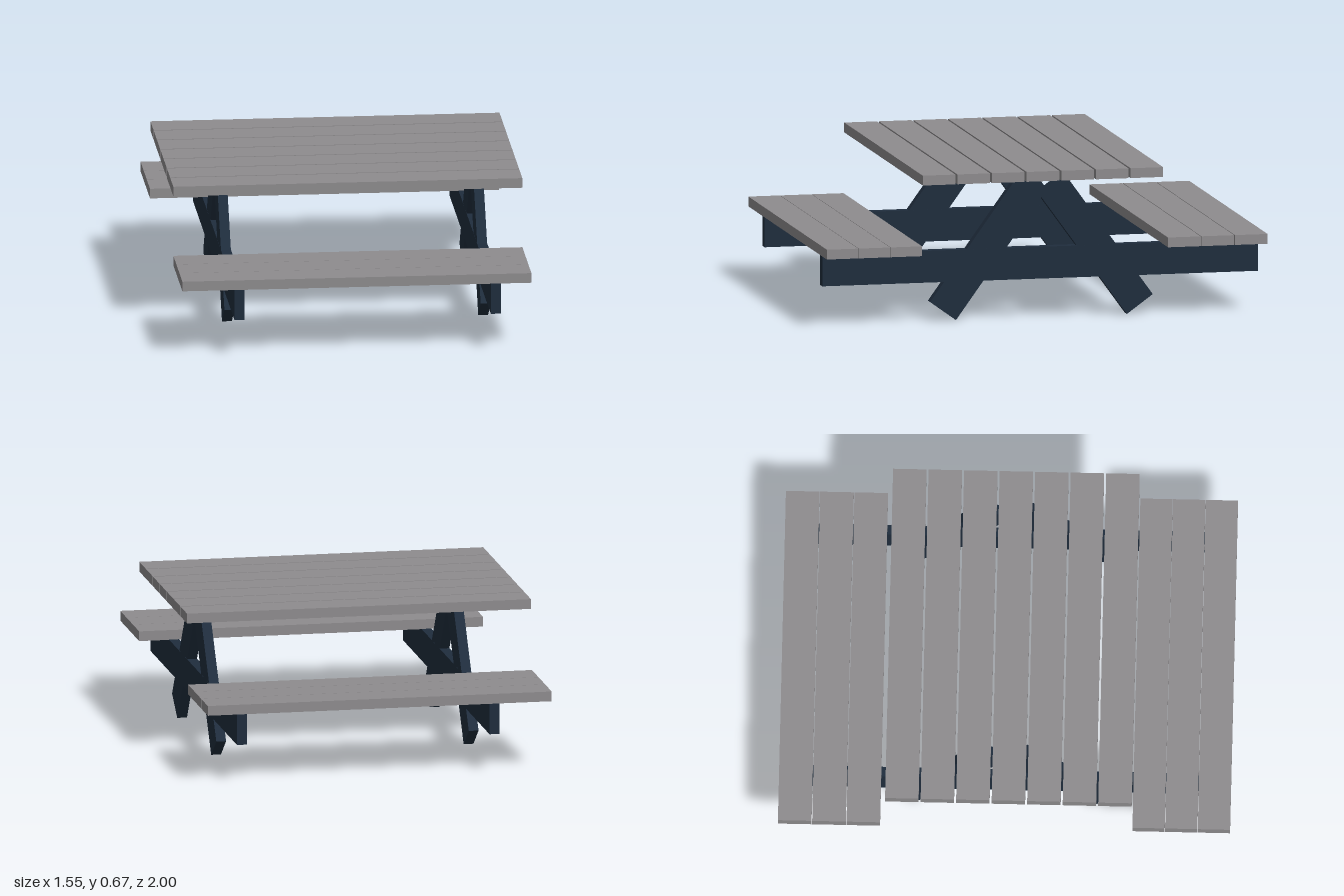
import * as THREE from 'three';

const wood = new THREE.MeshStandardMaterial({ color: 0x8e8c8e });
wood.name = 'weathered grey wood';
const frame = new THREE.MeshStandardMaterial({ color: 0x1f2d3d });
frame.name = 'dark navy frame';

function board(parent, name, material, size, position, tilt = 0) {
  const mesh = new THREE.Mesh(new THREE.BoxGeometry(...size), material);
  mesh.name = name;
  mesh.position.set(...position);
  mesh.rotation.x = tilt;
  parent.add(mesh);
}

// A row of parallel slats running along x, spread between two z limits
function slatRow(name, count, zMin, zMax, gap, y, thickness) {
  const row = new THREE.Group();
  row.name = name;
  const width = (zMax - zMin - gap * (count - 1)) / count;
  for (let i = 0; i < count; i++) {
    const z = zMin + width / 2 + i * (width + gap);
    board(row, `${name}Slat${i + 1}`, wood, [1.55, thickness, width], [0, y, z]);
  }
  return row;
}

// One end frame: long seat beam crossed by two leaning legs
function endFrame(name, x) {
  const group = new THREE.Group();
  group.name = name;
  group.position.x = x;
  board(group, 'seatBeam', frame, [0.045, 0.142, 1.976], [0, 0.249, 0.002]);
  board(group, 'frontLeg', frame, [0.044, 0.686, 0.145], [0, 0.326, 0.241], -0.626);
  board(group, 'backLeg', frame, [0.044, 0.686, 0.145], [0, 0.326, -0.25], 0.626);
  return group;
}

export function createModel() {
  const table = new THREE.Group();
  table.name = 'picnicTable';
  table.add(
    slatRow('tableTop', 7, -0.526, 0.565, 0.009, 0.657, 0.044),
    slatRow('frontSeat', 3, 0.568, 1, 0.002, 0.341, 0.044),
    slatRow('backSeat', 3, -1, -0.548, 0.003, 0.341, 0.044),
    endFrame('rightFrame', -0.52),
    endFrame('leftFrame', 0.618)
  );
  return table;
}
